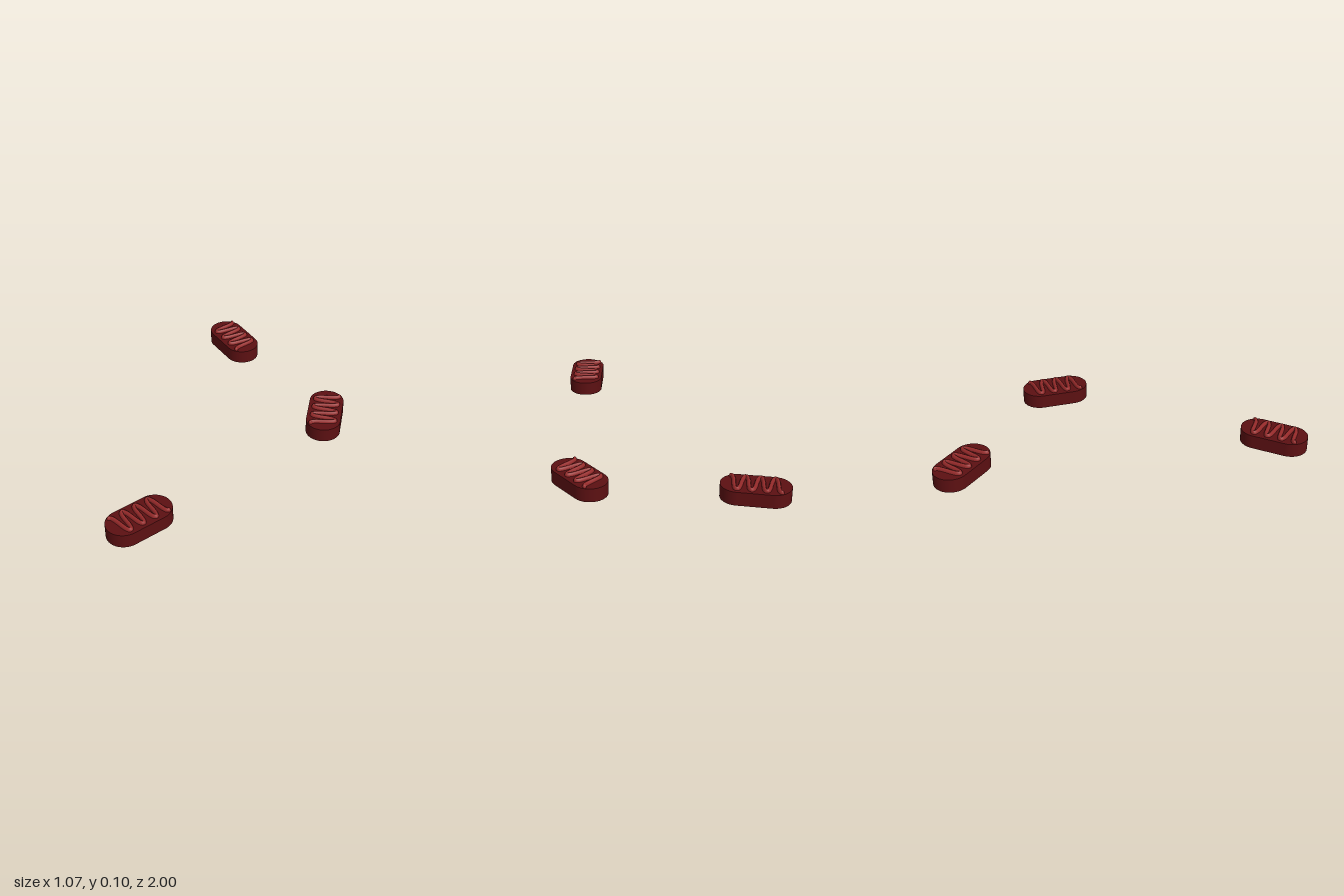
import * as THREE from 'three';

const RADIUS = 0.095, HALF = 0.09, HEIGHT = 0.077; // capsule outline and thickness
const FOLDS = 7;

// Winding path: flat strokes across x, stepping along z
class FoldCurve extends THREE.Curve {
  getPoint(t, target = new THREE.Vector3()) {
    const p = FOLDS * Math.PI * t;
    const along = (p + 0.25 * Math.sin(2 * p)) / (FOLDS * Math.PI);
    return target.set(0.067 * Math.cos(p), 0, 0.266 * (along - 0.5));
  }
}

function bodyGeometry() {
  const s = new THREE.Shape();
  s.absarc(0, HALF, RADIUS, 0, Math.PI, false);
  s.absarc(0, -HALF, RADIUS, Math.PI, 2 * Math.PI, false);
  s.closePath();
  const g = new THREE.ExtrudeGeometry(s, { depth: HEIGHT, bevelEnabled: false, curveSegments: 32 });
  return g.rotateX(-Math.PI / 2);
}

export function createModel() {
  const model = new THREE.Group();
  const bodyMat = new THREE.MeshStandardMaterial({ color: 0x5c1012 });
  const foldMat = new THREE.MeshStandardMaterial({ color: 0x962a2a });

  const curve = new FoldCurve();
  const bodyGeo = bodyGeometry();
  const foldGeo = new THREE.TubeGeometry(curve, 240, 0.0115, 10, false);
  const tipGeo = new THREE.SphereGeometry(0.0115, 12, 8);

  // x, z and turn of each capsule
  const places = [
    [0.435, -0.18, 0],
    [-0.195, -0.838, 0.727],
    [-0.382, 0.838, -0.727],
  ];
  places.forEach(([x, z, turn], i) => {
    const capsule = new THREE.Group();
    capsule.name = `capsule${i + 1}`;
    capsule.position.set(x, 0, z);
    capsule.rotation.y = turn;

    const body = new THREE.Mesh(bodyGeo, bodyMat);
    body.name = 'body';
    capsule.add(body);

    // raised winding ridge, half sunk into the top
    const ridge = new THREE.Group();
    ridge.name = 'foldedRidge';
    ridge.position.y = HEIGHT;
    ridge.scale.y = 1.6;
    const fold = new THREE.Mesh(foldGeo, foldMat);
    fold.name = 'fold';
    ridge.add(fold);
    for (const t of [0, 1]) {
      const tip = new THREE.Mesh(tipGeo, foldMat);
      tip.name = 'foldTip';
      tip.position.copy(curve.getPoint(t));
      ridge.add(tip);
    }
    capsule.add(ridge);
    model.add(capsule);
  });
  return model;
}
